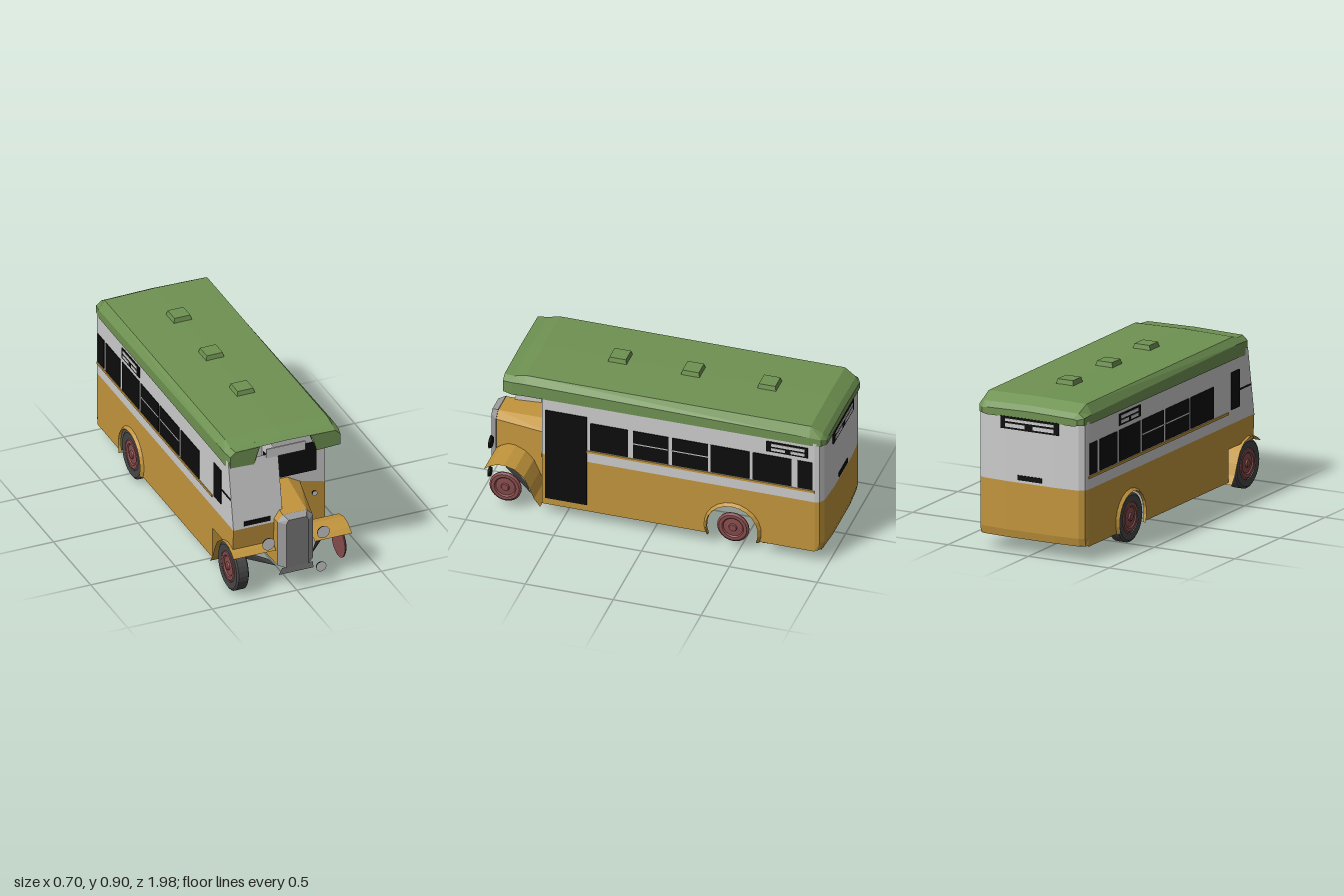
import * as THREE from 'three';

const mat = (name, color) => {
  const m = new THREE.MeshStandardMaterial({ color, side: THREE.DoubleSide, flatShading: true });
  m.name = name;
  return m;
};

export function createModel() {
  const bus = new THREE.Group();
  bus.name = 'halfCabBus';
  const amber = mat('amber paint', 0xc2953c), white = mat('pale grey paint', 0xcccccc);
  const green = mat('green roof', 0x6f9252), black = mat('black glass', 0x0d0d0d);
  const rubber = mat('tyre rubber', 0x464646), red = mat('red hub', 0x874b4b);
  const steel = mat('radiator core', 0x7a7a7a), trim = mat('radiator shell', 0x9c9c9c);

  const add = (name, geo, m, x = 0, y = 0, z = 0) => {
    const mesh = new THREE.Mesh(geo, m);
    mesh.name = name;
    mesh.position.set(x, y, z);
    bus.add(mesh);
    return mesh;
  };
  const box = (name, m, x0, x1, y0, y1, z0, z1) =>
    add(name, new THREE.BoxGeometry(x1 - x0, y1 - y0, z1 - z0), m, (x0 + x1) / 2, (y0 + y1) / 2, (z0 + z1) / 2);
  // Skin between successive rows of [x, y, z] points
  const skin = (name, m, rows) => {
    const p = [];
    for (let i = 0; i + 1 < rows.length; i++)
      for (let j = 0; j + 1 < rows[i].length; j++) {
        const a = rows[i][j], b = rows[i][j + 1], c = rows[i + 1][j + 1], d = rows[i + 1][j];
        p.push(...a, ...b, ...c, ...a, ...c, ...d);
      }
    const g = new THREE.BufferGeometry();
    g.setAttribute('position', new THREE.Float32BufferAttribute(p, 3));
    g.computeVertexNormals();
    return add(name, g, m);
  };
  const poly = pts => new THREE.Shape(pts.map(p => new THREE.Vector2(...p)));
  // Flat panel in a plane of constant z, points are [x, y]
  const frontPanel = (name, m, z, pts) => add(name, new THREE.ShapeGeometry(poly(pts)), m, 0, 0, z);
  // Flat panel in a plane of constant x, points are [z, y]
  const sidePanel = (name, m, x, pts) =>
    add(name, new THREE.ShapeGeometry(poly(pts)).rotateY(-Math.PI / 2), m, x);

  const W = 0.333, axleY = 0.137, rearZ = -0.465, frontZ = 0.83;

  // Side walls with open rear wheel arches
  const arch = [];
  for (let i = 0; i <= 14; i++) {
    const a = -0.4 + (Math.PI + 0.8) * i / 14;
    arch.push([rearZ - 0.146 * Math.cos(a), axleY + 0.146 * Math.sin(a)]);
  }
  for (const s of [-1, 1]) {
    sidePanel('lowerSide', amber, s * W, [[-0.93, 0.08], ...arch, [0.62, 0.08], [0.62, 0.4], [-0.93, 0.4]]);
    sidePanel('upperSide', white, s * W, [[-0.93, 0.4], [0.62, 0.4], [0.62, 0.78], [-0.93, 0.78]]);
    box('waistRail', amber, s * W - 0.004, s * W + 0.004, 0.46, 0.474, -0.93, s > 0 ? 0.365 : 0.62);
    // Rear wheel arch flare
    const rim = (r, x) => arch.map(([z, y]) => [s * x, axleY + (y - axleY) * r, rearZ + (z - rearZ) * r]);
    skin('rearArchFlare', amber, [rim(1, W), rim(1.02, 0.35), rim(1.12, W)]);
  }

  // Rounded rear wall
  const plan = [[0.333, -0.93], [0.325, -0.955], [0.295, -0.975], [0.15, -0.985], [-0.15, -0.985], [-0.295, -0.975], [-0.325, -0.955], [-0.333, -0.93]];
  const rearRow = (y, dz) => plan.map(([x, z], i) => [x, y, z + (i > 0 && i < 7 ? dz : 0)]);
  skin('lowerRear', amber, [rearRow(0.085, 0.01), rearRow(0.13, 0), rearRow(0.4, 0)]);
  skin('upperRear', white, [rearRow(0.4, 0), rearRow(0.78, 0)]);
  skin('rearFloor', rubber, [[[-0.33, 0.075, -0.63], [0.33, 0.075, -0.63]], [[-0.31, 0.087, -0.965], [0.31, 0.087, -0.965]]]);

  // Windows on each side, [z0, z1]
  const windows = {
    1: [[-0.92, -0.835], [-0.8, -0.58], [-0.56, -0.34], [-0.325, -0.12], [-0.1, 0.1], [0.13, 0.345]],
    [-1]: [[-0.92, -0.835], [-0.81, -0.615], [-0.59, -0.36], [-0.34, -0.1], [-0.08, 0.18], [0.2, 0.45]],
  };
  for (const s of [1, -1]) {
    windows[s].forEach(([a, b], i) => {
      box('sideWindow', black, s * W - 0.004, s * W + 0.004, 0.48, 0.655, a, b);
      if (i === 3 || i === 4) box('windowBar', white, s * W - 0.005, s * W + 0.005, 0.57, 0.577, a, b);
    });
    // Side route box with pale panels
    const c = s > 0 ? -0.775 : -0.475;
    box('sideRouteBox', black, s * W - 0.004, s * W + 0.004, 0.68, 0.745, c - 0.118, c + 0.118);
    for (const [a, b, y0, y1] of [[-0.1, 0.09, 0.717, 0.735], [-0.1, -0.02, 0.69, 0.707], [0.01, 0.09, 0.69, 0.707]])
      box('sideRoutePanel', white, s * W - 0.006, s * W + 0.006, y0, y1, c + a, c + b);
  }
  box('door', black, W - 0.004, W + 0.004, 0.12, 0.69, 0.365, 0.6);

  // Rear route box and plate
  box('rearRouteBox', black, -0.18, 0.18, 0.695, 0.765, -0.991, -0.982);
  for (const [a, b, y0, y1] of [[-0.15, 0.15, 0.738, 0.753], [-0.15, -0.02, 0.706, 0.727], [0.03, 0.15, 0.706, 0.727]])
    box('rearRoutePanel', white, a, b, y0, y1, -0.993, -0.984);
  box('rearPlate', black, -0.075, 0.075, 0.415, 0.442, -0.99, -0.983);

  // Bulkhead beside the bonnet
  frontPanel('lowerBulkhead', amber, 0.62, [[-W, 0.08], [W, 0.08], [W, 0.4], [0.18, 0.44], [-W, 0.44]]);
  frontPanel('upperBulkhead', white, 0.62, [[-W, 0.44], [0.18, 0.44], [W, 0.4], [W, 0.83], [-W, 0.83]]);
  box('bulkheadWindow', black, 0.01, 0.28, 0.49, 0.665, 0.619, 0.627);

  // Driver's half cab
  const cabIn = -0.04, cabLow = [[0.62, 0.265], [0.895, 0.265], [0.905, 0.4], [0.62, 0.4]];
  const cabHigh = [[0.62, 0.4], [0.905, 0.4], [0.835, 0.79], [0.62, 0.79]];
  for (const x of [-W, cabIn]) {
    sidePanel('cabLowerSide', amber, x, cabLow);
    sidePanel('cabUpperSide', white, x, cabHigh);
    box('cabSideWindow', black, x - 0.004, x + 0.004, 0.48, 0.69, 0.645, 0.74);
    box('cabSideBar', black, x - 0.004, x + 0.004, 0.571, 0.579, 0.74, 0.868);
  }
  const cabRow = (y, z) => [[-W, y, z], [cabIn, y, z]];
  skin('cabLowerFront', amber, [cabRow(0.265, 0.895), cabRow(0.4, 0.905)]);
  skin('cabUpperFront', white, [cabRow(0.4, 0.905), cabRow(0.79, 0.835)]);
  skin('cabFloor', amber, [cabRow(0.265, 0.62), cabRow(0.265, 0.895)]);
  box('frontPlate', black, -0.27, -0.115, 0.415, 0.44, 0.9, 0.908);
  box('frontRoutePanel', white, -0.11, 0.12, 0.77, 0.825, 0.835, 0.843);

  // Roof shell from cross-sections along z
  const roofRow = (z, w, eave, crease, top) => [
    [-w, eave, z], [-w, crease, z], [-w * 0.9, top - 0.006, z], [0, top, z], [w * 0.9, top - 0.006, z], [w, crease, z], [w, eave, z]];
  skin('roof', green, [
    roofRow(0.845, 0.325, 0.758, 0.825, 0.857), roofRow(0.79, 0.336, 0.752, 0.83, 0.859),
    roofRow(0.72, 0.337, 0.757, 0.833, 0.876), roofRow(-0.9, 0.337, 0.765, 0.815, 0.875),
    roofRow(-0.965, 0.325, 0.765, 0.805, 0.835), roofRow(-0.988, 0.295, 0.765, 0.795, 0.806)]);
  skin('rearRoofEdge', green, [roofRow(-0.988, 0.295, 0.765, 0.795, 0.806), roofRow(-0.988, 0.295, 0.765, 0.765, 0.765)]);
  // Drooping front corners of the roof
  for (const s of [-1, 1]) {
    frontPanel('roofFrontCorner', green, 0.845,
      [[0.325, 0.758], [0.185, 0.752], [0.165, 0.82], [0.15, 0.853], [0.293, 0.851], [0.325, 0.825]].map(([x, y]) => [s * x, y]));
    skin('roofCornerReturn', green, [
      [[s * 0.185, 0.752, 0.845], [s * 0.15, 0.853, 0.845]], [[s * 0.2, 0.77, 0.72], [s * 0.17, 0.86, 0.72]]]);
  }
  // Roof vents
  for (const z of [0.285, -0.13, -0.565])
    add('roofVent', new THREE.CylinderGeometry(0.066, 0.076, 0.03, 4, 1).rotateY(Math.PI / 4), green, -0.01, 0.886, z);

  // Bonnet
  const at = (z, pts) => pts.map(([x, y]) => [x, y, z]);
  const bonnetFront = [[-0.092, 0.15], [-0.092, 0.42], [-0.06, 0.458], [0.08, 0.458], [0.115, 0.42], [0.115, 0.15]];
  const bonnetRear = [[-0.1, 0.15], [-0.1, 0.41], [-0.04, 0.48], [0.11, 0.48], [0.185, 0.435], [0.185, 0.15]];
  skin('bonnet', amber, [at(0.95, bonnetFront), at(0.62, bonnetRear)]);
  // Radiator shell, core and apron
  const coreEdge = [[-0.058, 0.148], [-0.058, 0.42], [-0.045, 0.444], [0.06, 0.444], [0.074, 0.42], [0.074, 0.148]];
  skin('radiatorShell', trim, [at(0.95, bonnetFront.map(([x, y]) => [x * 1.02, y * 1.008])), at(0.99, coreEdge)]);
  frontPanel('radiatorCore', steel, 0.989, coreEdge);
  skin('radiatorApron', trim, [at(0.985, [[-0.08, 0.15], [0.1, 0.15]]), at(0.975, [[-0.096, 0.105], [0.11, 0.105]])]);

  // Front mudguards, sweeping back into a full-width apron
  const guard = [[0.945, 0.245], [0.915, 0.268], [0.875, 0.287], [0.83, 0.291], [0.77, 0.275], [0.72, 0.235], [0.685, 0.17]];
  for (const [a, b] of [[-0.35, -0.1], [0.13, 0.35]])
    skin('frontMudguard', amber, guard.map(([z, y]) => [[a, y, z], [b, y, z]]));
  skin('frontApron', amber, [[0.685, 0.17], [0.66, 0.11], [0.625, 0.065]].map(([z, y]) => [[-0.35, y, z], [0.35, y, z]]));
  // Dark inner wing plates
  skin('innerWing', rubber, [[[0.11, 0.15, 0.93], [0.17, 0.24, 0.89]], [[0.28, 0.095, 0.7], [0.295, 0.165, 0.72]]]);
  skin('innerWing', rubber, [[[-0.095, 0.14, 0.93], [-0.12, 0.165, 0.89]], [[-0.2, 0.09, 0.7], [-0.215, 0.15, 0.72]]]);

  // Lamps: pale lens on a black shell
  for (const [x, y, z, r] of [[-0.152, 0.306, 0.96, 0.037], [0.172, 0.306, 0.96, 0.037], [0.154, 0.1, 0.972, 0.03], [0.265, 0.351, 0.634, 0.015]]) {
    add('lampShell', new THREE.CylinderGeometry(r, r * 0.85, 0.012, 20).rotateX(Math.PI / 2), black, x, y, z);
    add('lampLens', new THREE.CircleGeometry(r, 20), white, x, y, z + 0.007);
  }

  // Wheels: tyres on the right side, stepped hubs on both
  const hub = [[0, 0.012], [0.02, 0.012], [0.024, 0.004], [0.055, 0.001], [0.062, 0.008], [0.08, 0.008], [0.091, 0], [0.091, -0.006], [0, -0.006]]
    .map(p => new THREE.Vector2(...p));
  const tyre = [[0.088, -0.033], [0.125, -0.036], [0.137, -0.028], [0.137, 0.028], [0.125, 0.036], [0.088, 0.033]]
    .map(p => new THREE.Vector2(...p));
  for (const z of [frontZ, rearZ]) {
    add('tyre', new THREE.LatheGeometry(tyre, 28).rotateZ(Math.PI / 2), rubber, -0.3, axleY, z);
    for (const [x, s] of [[-0.328, 1], [-0.272, -1], [0.325, -1]])
      add('wheelHub', new THREE.LatheGeometry(hub, 24).rotateZ(s * Math.PI / 2), red, x, axleY + 0.003, z);
  }
  return bus;
}
